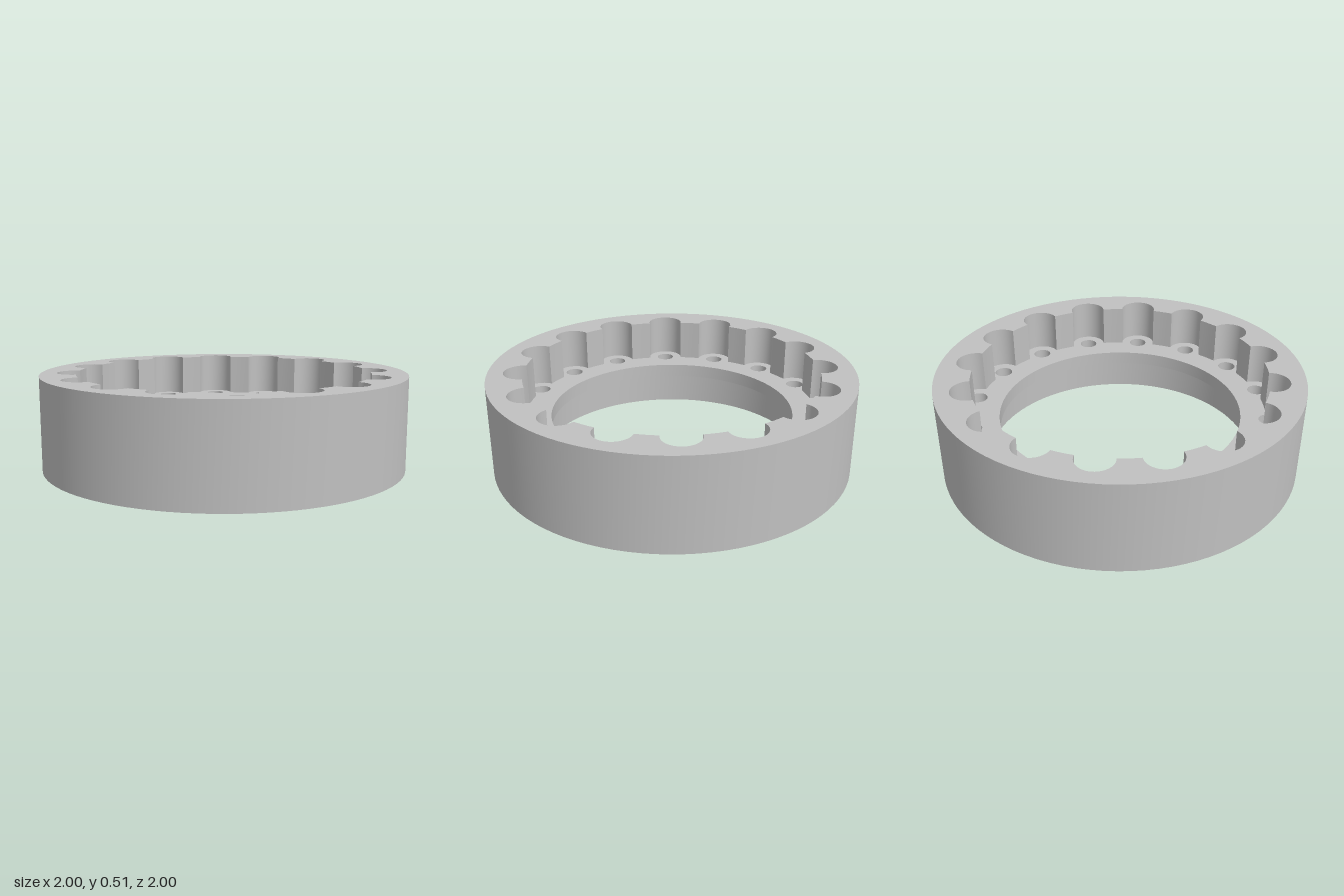
import * as THREE from 'three';
import { toCreasedNormals } from 'three/addons/utils/BufferGeometryUtils.js';

const HEIGHT = 0.51, FLOOR = 0.275, LEDGE = 0.2;   // levels
const OUTER = 1, BORE = 0.667, RECESS = 0.745;     // radii
const LOBES = 16, LOBE_AT = 0.815, LOBE_R = 0.1, POCKET_R = 0.807;

// Points along an arc, counter-clockwise in plan
function arc(cx, cy, r, from, to, n) {
  const pts = [];
  for (let i = 0; i < n; i++) {
    const a = from + (to - from) * i / n;
    pts.push(new THREE.Vector2(cx + r * Math.cos(a), cy + r * Math.sin(a)));
  }
  return pts;
}
const circle = (r, n = 96, cx = 0, cy = 0) => arc(cx, cy, r, 0, Math.PI * 2, n);

// Circles spaced evenly round the ring
function ringOfCircles(count, at, r, start = 0) {
  return Array.from({ length: count }, (_, k) => {
    const a = start + k * Math.PI * 2 / count;
    return circle(r, 24, at * Math.cos(a), at * Math.sin(a));
  });
}

// Pocket outline: round lobes joined by short arcs
function scallopOutline() {
  const step = Math.PI * 2 / LOBES;
  const corner = Math.acos((LOBE_AT ** 2 + LOBE_R ** 2 - POCKET_R ** 2) / (2 * LOBE_AT * LOBE_R));
  const half = Math.asin(LOBE_R * Math.sin(corner) / POCKET_R);
  const sweep = Math.PI - corner;
  const pts = [];
  for (let k = 0; k < LOBES; k++) {
    const a = k * step;
    pts.push(...arc(LOBE_AT * Math.cos(a), LOBE_AT * Math.sin(a), LOBE_R, a - sweep, a + sweep, 20));
    pts.push(...arc(0, 0, POCKET_R, a + half, a + step - half, 3));
  }
  return pts;
}

// Flat horizontal face, facing up or down
function face(outline, holes, y, up) {
  const shape = new THREE.Shape(outline);
  shape.holes = holes.map((h) => new THREE.Path(h));
  const geo = new THREE.ShapeGeometry(shape);
  geo.rotateX(up ? -Math.PI / 2 : Math.PI / 2);
  return geo.translate(0, y, 0);
}

// Upright wall along a closed outline, facing outwards or inwards
function wall(outline, y0, y1, outward) {
  const pts = outward ? outline : [...outline].reverse();
  const pos = [];
  pts.forEach((a, i) => {
    const b = pts[(i + 1) % pts.length];
    pos.push(a.x, y0, -a.y, b.x, y0, -b.y, b.x, y1, -b.y);
    pos.push(a.x, y0, -a.y, b.x, y1, -b.y, a.x, y1, -a.y);
  });
  const geo = new THREE.BufferGeometry();
  geo.setAttribute('position', new THREE.Float32BufferAttribute(pos, 3));
  return toCreasedNormals(geo, 0.6);
}

export function createModel() {
  const metal = new THREE.MeshStandardMaterial({ color: 0xc0c0c0 });
  metal.name = 'grey metal';
  const model = new THREE.Group();
  model.name = 'scallopedRing';
  const add = (name, geo) => {
    const mesh = new THREE.Mesh(geo, metal);
    mesh.name = name;
    model.add(mesh);
  };

  const rim = circle(OUTER), bore = circle(BORE), recess = circle(RECESS);
  const scallop = scallopOutline();
  const pocketHoles = ringOfCircles(LOBES, LOBE_AT, 0.05);
  const mountHoles = ringOfCircles(4, 0.89, 0.041, Math.PI / 4);

  // Outer body and scalloped pocket
  add('outerWall', wall(rim, 0, HEIGHT, true));
  add('topFace', face(rim, [scallop], HEIGHT, true));
  add('pocketWall', wall(scallop, FLOOR, HEIGHT, false));
  add('pocketFloor', face(scallop, [bore, ...pocketHoles], FLOOR, true));

  // Inner lip, recess below it and underside
  add('lipWall', wall(bore, LEDGE, FLOOR, false));
  add('lipUnderside', face(recess, [bore], LEDGE, false));
  add('recessWall', wall(recess, 0, LEDGE, false));
  add('bottomFace', face(rim, [recess, ...mountHoles], 0, false));

  // Blind holes in the pocket floor
  for (const hole of pocketHoles) {
    add('pocketHoleWall', wall(hole, FLOOR - 0.1, FLOOR, false));
    add('pocketHoleEnd', face(hole, [], FLOOR - 0.1, true));
  }
  // Blind mounting holes in the underside
  for (const hole of mountHoles) {
    add('mountHoleWall', wall(hole, 0, 0.1, false));
    // the down-facing flip mirrors a hole onto the opposite quadrant, which is also a hole
    add('mountHoleEnd', face(hole, [], 0.1, false));
  }
  return model;
}
